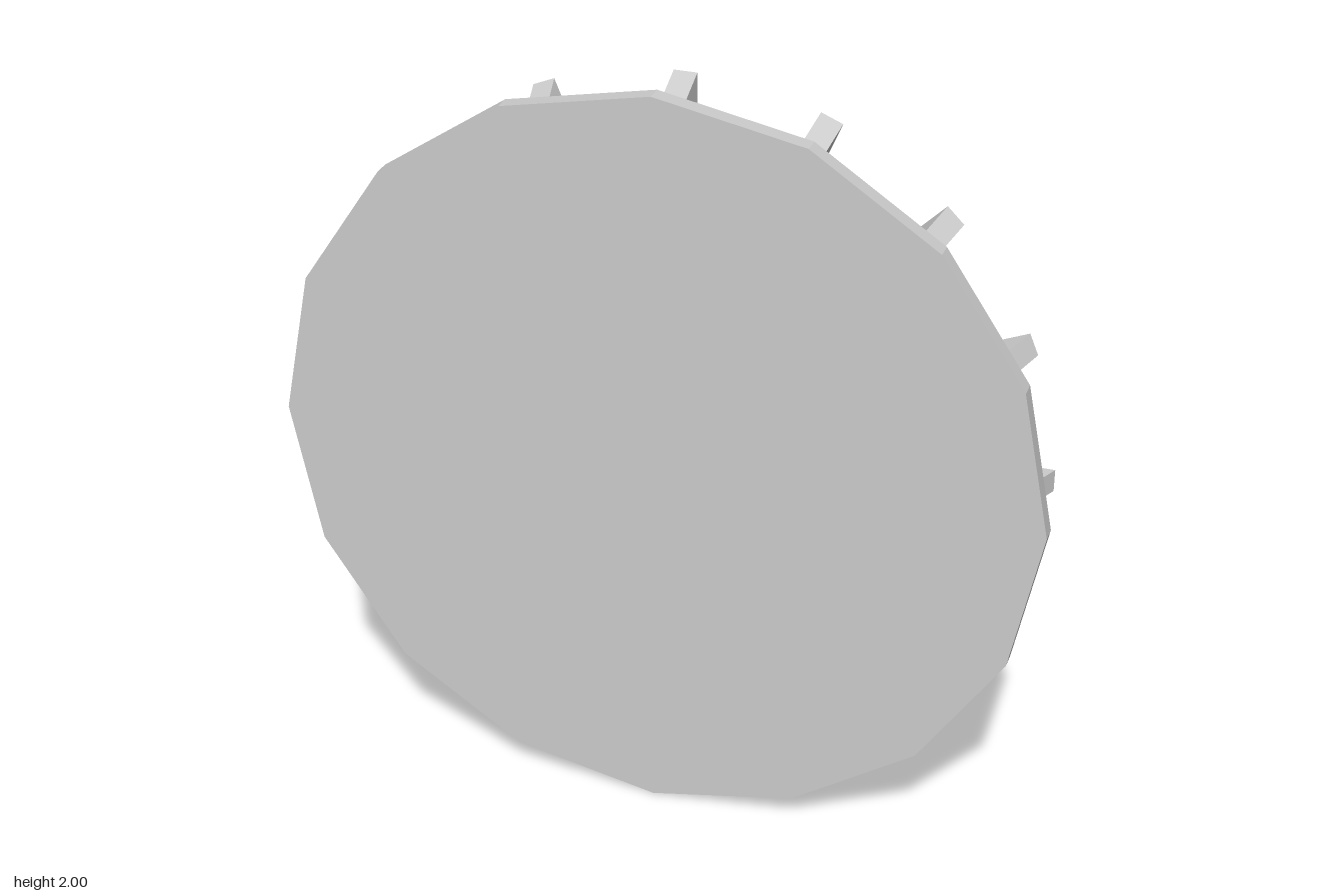
import * as THREE from 'three';

const COUNT = 16;
const STEP = (Math.PI * 2) / COUNT;
const BACK = -0.134, MID = 0.089, FRONT = 0.134;
const HUB_R = 0.86, TIP_R = 0.96;
const T0 = -0.024, T1 = 0.036; // tooth sides, measured along the tangent

export function createModel() {
  const group = new THREE.Group();
  const material = new THREE.MeshStandardMaterial({ color: 0xcccccc, flatShading: true });
  const add = (geometry, name) => {
    const mesh = new THREE.Mesh(geometry, material);
    mesh.name = name;
    group.add(mesh);
    return mesh;
  };

  // Front flange disc
  const disc = new THREE.CylinderGeometry(1, 1, FRONT - MID, COUNT);
  disc.rotateX(Math.PI / 2).translate(0, 0, (FRONT + MID) / 2);
  add(disc, 'flange');

  // Hub with a small flat under every tooth
  const outline = [];
  for (let i = 0; i < COUNT; i++) {
    for (const t of [T0, T1]) {
      outline.push(new THREE.Vector2(HUB_R, t).rotateAround(new THREE.Vector2(), i * STEP));
    }
  }
  const hub = new THREE.ExtrudeGeometry(new THREE.Shape(outline), { depth: MID - BACK, bevelEnabled: false });
  hub.translate(0, 0, BACK);
  add(hub, 'hub');

  // Wedge teeth, tallest at the back and fading out at the flange
  const profile = new THREE.Shape([
    new THREE.Vector2(HUB_R, BACK),
    new THREE.Vector2(TIP_R, BACK),
    new THREE.Vector2(HUB_R, MID),
  ]);
  const tooth = new THREE.ExtrudeGeometry(profile, { depth: T1 - T0, bevelEnabled: false });
  tooth.rotateX(Math.PI / 2).translate(0, T1, 0);
  for (let i = 0; i < COUNT; i++) add(tooth, 'tooth').rotation.z = i * STEP;

  group.position.y = 1;
  const root = new THREE.Group();
  root.name = 'gearWheel';
  group.name = 'wheel';
  root.add(group);
  return root;
}
